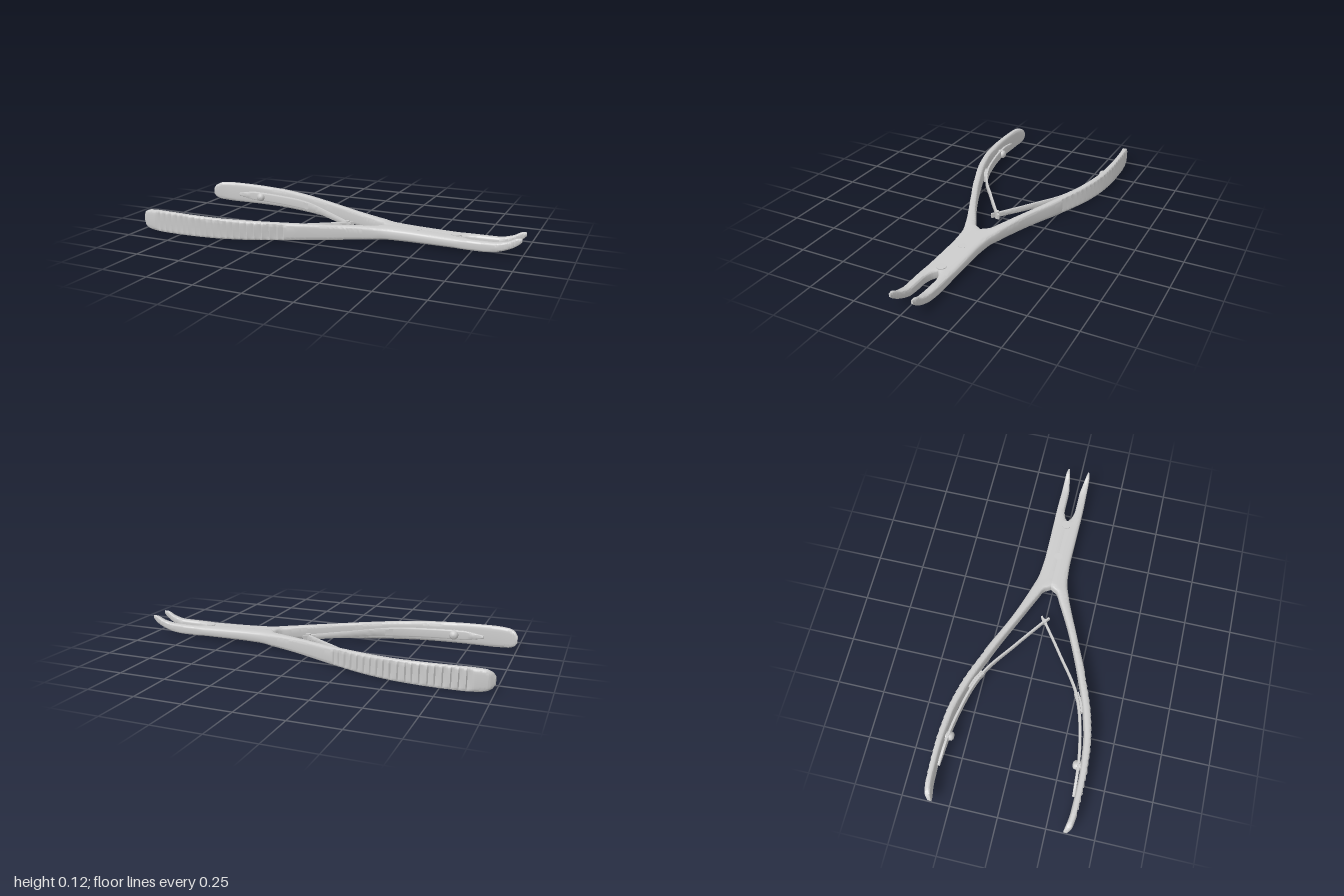
import * as THREE from 'three';
import { toCreasedNormals } from 'three/addons/utils/BufferGeometryUtils.js';

const steel = new THREE.MeshStandardMaterial({ color: 0xcccccc });

// Smooth monotone interpolation through [x, value] pairs
function profile(pts) {
  const n = pts.length;
  const slope = i => (pts[i + 1][1] - pts[i][1]) / (pts[i + 1][0] - pts[i][0]);
  const m = pts.map((p, i) => {
    if (i === 0) return slope(0);
    if (i === n - 1) return slope(n - 2);
    const a = slope(i - 1), b = slope(i);
    return a * b <= 0 ? 0 : (2 * a * b) / (a + b);
  });
  return x => {
    let i = 0;
    while (i < n - 2 && x > pts[i + 1][0]) i++;
    const h = pts[i + 1][0] - pts[i][0];
    const t = THREE.MathUtils.clamp((x - pts[i][0]) / h, 0, 1);
    const t2 = t * t, t3 = t2 * t;
    return (2 * t3 - 3 * t2 + 1) * pts[i][1] + (t3 - 2 * t2 + t) * h * m[i]
      + (3 * t2 - 2 * t3) * pts[i + 1][1] + (t3 - t2) * h * m[i + 1];
  };
}

// Loft of rounded-rectangle sections along x; side = +1 / -1 mirrors in z
function loft({ x0, x1, inner, outer, low, high, centre = () => 0, ridge = () => 0, round = 0.5, steps, sides = 24 }, side) {
  const pos = [], idx = [];
  const pw = v => Math.sign(v) * Math.pow(Math.abs(v), round);
  for (let i = 0; i <= steps; i++) {
    const x = x0 + (x1 - x0) * (0.5 - 0.5 * Math.cos(Math.PI * i / steps));
    const a = inner(x), b = outer(x), l = low(x), h = high(x);
    for (let j = 0; j < sides; j++) {
      const ang = (j / sides) * Math.PI * 2;
      const c = pw(Math.cos(ang)), s = pw(Math.sin(ang));
      const cut = c > 0 ? ridge(x) * c * Math.max(0, 1 - s ** 4) : 0;
      pos.push(x, (l + h) / 2 + s * (h - l) / 2, centre(x) + side * ((a + b) / 2 + c * (b - a) / 2 - cut));
    }
  }
  const tri = (a, b, c) => (side > 0 ? idx.push(a, b, c) : idx.push(a, c, b));
  for (let i = 0; i < steps; i++) {
    for (let j = 0; j < sides; j++) {
      const k = (j + 1) % sides, a = i * sides, b = a + sides;
      tri(a + j, b + j, a + k);
      tri(b + j, b + k, a + k);
    }
  }
  const last = steps * sides;
  for (let j = 1; j < sides - 1; j++) {
    tri(0, j, j + 1);
    tri(last, last + j + 1, last + j);
  }
  const g = new THREE.BufferGeometry();
  g.setAttribute('position', new THREE.Float32BufferAttribute(pos, 3));
  g.setIndex(idx);
  return toCreasedNormals(g, 0.7);
}

// Handle, joint body and jaw of one half, as distances from the centre line
const half = {
  x0: -1, x1: 1, steps: 400,
  outer: profile([[-1, .358], [-.97, .378], [-.85, .392], [-.7, .395], [-.55, .385], [-.4, .355], [-.17, .272],
    [0, .197], [.15, .136], [.25, .101], [.33, .08], [.45, .072], [.75, .074], [.9, .071], [.97, .069], [1, .062]]),
  inner: profile([[-1, .337], [-.9, .353], [-.75, .357], [-.55, .343], [-.4, .31], [-.17, .228], [0, .155],
    [.2, .058], [.245, .034], [.265, 0], [.3, -.03], [.66, -.03], [.69, 0], [.72, .02], [.77, .03],
    [.87, .03], [.93, .038], [1, .053]]),
  low: profile([[-1, .045], [-.985, .026], [-.95, .013], [-.85, .007], [-.4, .01], [0, .015], [.4, .018],
    [.8, .019], [.87, .025], [.94, .048], [.985, .075], [1, .09]]),
  high: profile([[-1, .085], [-.985, .106], [-.95, .12], [-.88, .124], [-.5, .116], [0, .096], [.4, .079],
    [.75, .07], [.86, .071], [.93, .085], [.98, .108], [1, .11]]),
  centre: profile([[-1, 0], [0, 0], [.3, -.01], [1, -.01]]),
  // Saw-tooth finger grip on the outside of the handle
  ridge: x => (x > -.91 && x < -.18 ? .011 * (((x + .91) / .0365) % 1) : 0),
};

// Leaf spring lying along the handle, then running to the middle
const springPath = profile([[-.82, .352], [-.66, .342], [-.45, .306], [-.3, .255], [-.1, .12], [.065, 0]]);
const springHalfHeight = profile([[-.82, .008], [-.7, .026], [-.4, .026], [-.2, .019], [.065, .014]]);
const spring = {
  x0: -.82, x1: .065, steps: 60, sides: 16, round: 0.4,
  outer: x => springPath(x) + .008,
  inner: x => springPath(x) - .008,
  low: x => .06 - springHalfHeight(x),
  high: x => .06 + springHalfHeight(x),
};

function add(parent, name, geometry, x = 0, y = 0, z = 0) {
  const mesh = new THREE.Mesh(geometry, steel);
  mesh.name = name;
  mesh.position.set(x, y, z);
  parent.add(mesh);
  return mesh;
}

export function createModel() {
  const group = new THREE.Group();
  group.name = 'springPliers';

  for (const side of [1, -1]) {
    const tag = side > 0 ? 'Front' : 'Back';
    add(group, 'handleAndJaw' + tag, loft(half, side));
    add(group, 'leafSpring' + tag, loft(spring, side));

    // Domed screw holding the spring to the handle
    const screw = new THREE.LatheGeometry(
      [[0, .024], [.014, .022], [.023, .014], [.025, 0], [.025, -.02]].reverse().map(p => new THREE.Vector2(...p)), 24);
    const head = add(group, 'springScrew' + tag, screw, -.66, .06, side * .336);
    head.rotation.x = -side * Math.PI / 2;

    // Thickened spring shoulder where the leaf leaves the handle
    const shoulder = add(group, 'springShoulder' + tag, new THREE.BoxGeometry(.11, .036, .024), -.34, .06, side * .278);
    shoulder.rotation.y = side * .47;

    // Hooked tip of the spring past the joint
    const hook = add(group, 'springHook' + tag, new THREE.BoxGeometry(.045, .026, .01), .07, .06, -side * .008);
    hook.rotation.y = side * .65;
  }

  // Knuckle where the two springs meet
  add(group, 'springKnuckle', new THREE.CylinderGeometry(.011, .011, .042, 16), .062, .06, 0);

  // Flush pivot discs through the joint body
  for (const x of [.45, .66]) {
    add(group, 'pivotPin', new THREE.CylinderGeometry(.025, .025, .058, 32), x, x < .5 ? .0485 : .0455, -.01);
  }
  return group;
}
